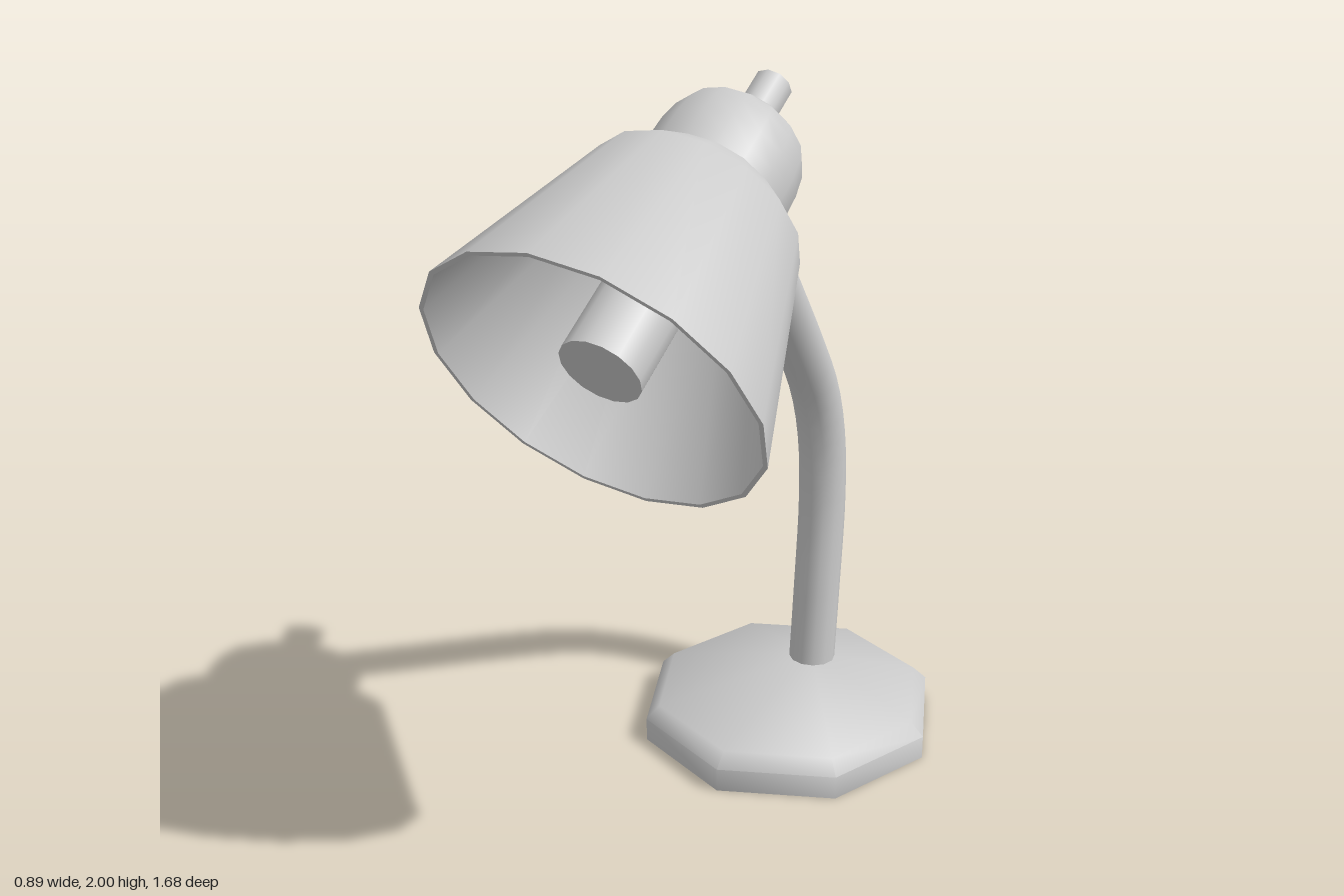
import * as THREE from 'three';
import { toCreasedNormals } from 'three/addons/utils/BufferGeometryUtils.js';

const material = new THREE.MeshStandardMaterial({ color: 0xcccccc });

function addPart(parent, name, geometry) {
  const mesh = new THREE.Mesh(geometry, material);
  mesh.name = name;
  parent.add(mesh);
  return mesh;
}

// Lathe from [radius, height] pairs, listed bottom to top on the outside
function lathe(profile, sides) {
  return new THREE.LatheGeometry(profile.map(([r, y]) => new THREE.Vector2(r, y)), sides);
}

function rod(radius, from, to, sides) {
  return new THREE.CylinderGeometry(radius, radius, to - from, sides)
    .translate(0, (from + to) / 2, 0);
}

export function createModel() {
  const model = new THREE.Group();
  model.name = 'deskLamp';

  // Eight-sided base whose peak sits off centre, under the arm
  const baseGeometry = lathe([[0, 0], [0.44, 0], [0.44, 0.07], [0.4, 0.11], [0, 0.15]], 8);
  const p = baseGeometry.attributes.position;
  for (let i = 0; i < p.count; i++) {
    if (p.getY(i) > 0.14) p.setZ(i, -0.15);
  }
  const base = addPart(model, 'base', toCreasedNormals(baseGeometry, 1.0));
  base.position.z = -0.4;

  // Bent arm, running from the base into the lamp head
  const path = new THREE.CatmullRomCurve3([
    [0.08, -0.545], [0.36, -0.573], [0.66, -0.597], [0.86, -0.583],
    [1.03, -0.53], [1.21, -0.42], [1.44, -0.26], [1.67, -0.1], [1.77, -0.035],
  ].map(([y, z]) => new THREE.Vector3(0, y, z)));
  addPart(model, 'arm', new THREE.TubeGeometry(path, 28, 0.069, 12, false));

  // Lamp head: built along y from the rim, then tipped back
  const head = new THREE.Group();
  head.name = 'lampHead';
  head.position.set(0, 1.44, 0.615);
  head.rotation.x = -1.036;
  model.add(head);

  // Thin shade: inner wall down to the rim, then the outer wall up
  const shade = lathe([
    [0.1, 0.61], [0.18, 0.61], [0.27, 0.54], [0.432, 0.0],
    [0.444, 0.0], [0.282, 0.545], [0.185, 0.635],
  ], 16);
  addPart(head, 'shade', toCreasedNormals(shade, 0.9));

  addPart(head, 'cap', lathe([
    [0.19, 0.6], [0.195, 0.66], [0.193, 0.72], [0.183, 0.78],
    [0.165, 0.82], [0.13, 0.85], [0.08, 0.868], [0, 0.875],
  ], 16));

  // Bulb and its socket
  addPart(head, 'socket', rod(0.118, 0.5, 0.65, 16));
  addPart(head, 'bulb', rod(0.107, 0.045, 0.55, 16));

  // Switch knob on a narrower stem
  addPart(head, 'switchStem', rod(0.038, 0.84, 0.92, 10));
  addPart(head, 'switchKnob', rod(0.052, 0.9, 1.01, 10));

  return model;
}
